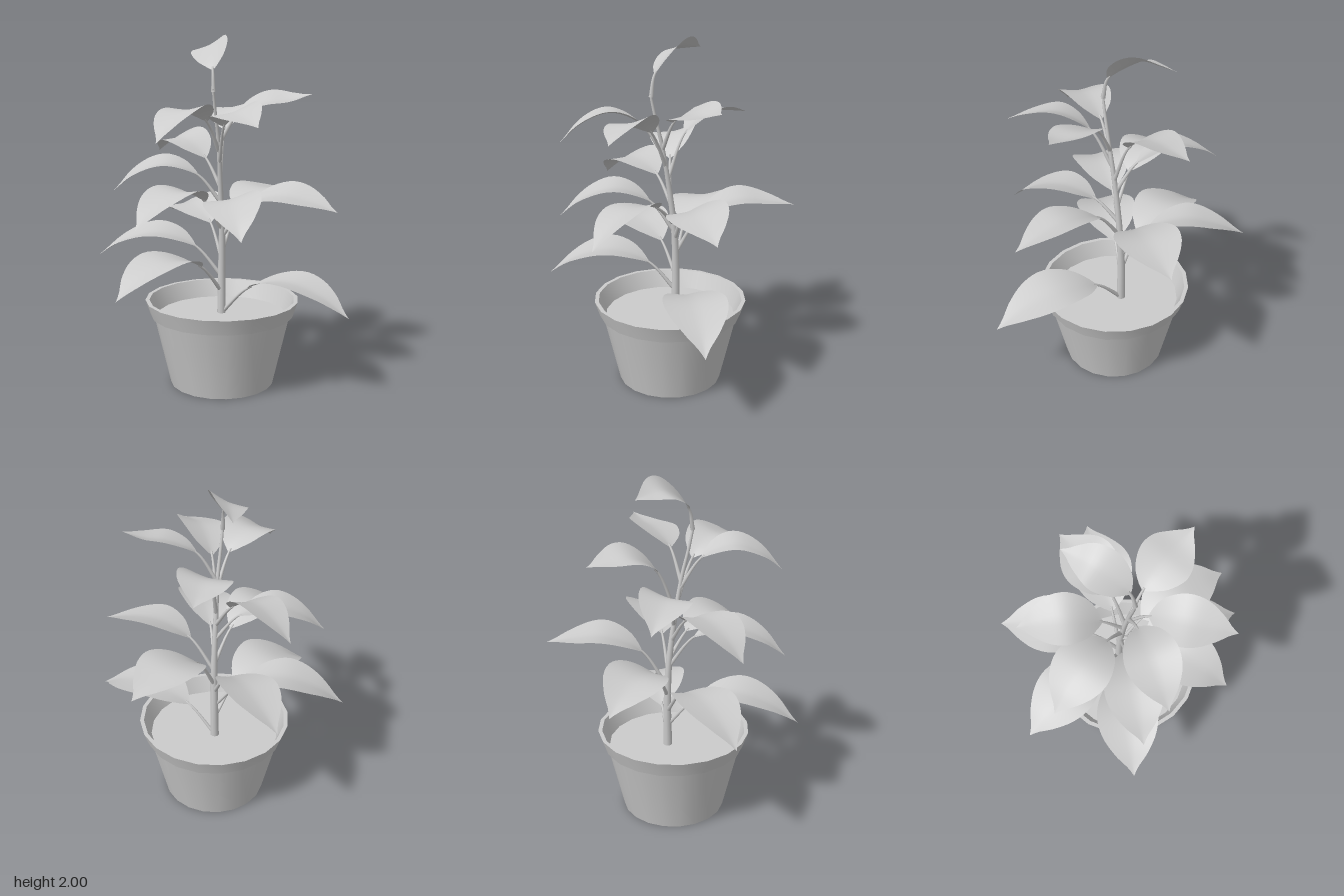
import * as THREE from 'three';
import { toCreasedNormals } from 'three/addons/utils/BufferGeometryUtils.js';

const V3 = (x, y, z) => new THREE.Vector3(x, y, z);
const grey = new THREE.MeshStandardMaterial({ color: 0xcccccc });
const thin = new THREE.MeshStandardMaterial({ color: 0xcccccc, side: THREE.DoubleSide });

function addMesh(parent, name, geometry, material = grey) {
  const mesh = new THREE.Mesh(geometry, material);
  mesh.name = name;
  parent.add(mesh);
  return mesh;
}

// Tube whose radius runs from r0 to r1 along the curve
function taperedTube(curve, r0, r1, steps, sides) {
  const geo = new THREE.TubeGeometry(curve, steps, 1, sides);
  const p = geo.attributes.position;
  for (let i = 0; i <= steps; i++) {
    const c = curve.getPointAt(i / steps);
    const r = THREE.MathUtils.lerp(r0, r1, i / steps);
    for (let j = 0; j <= sides; j++) {
      const k = i * (sides + 1) + j;
      const v = V3().fromBufferAttribute(p, k).sub(c).multiplyScalar(r).add(c);
      p.setXYZ(k, v.x, v.y, v.z);
    }
  }
  return geo;
}

const stemCurve = new THREE.CatmullRomCurve3([
  V3(0.04, 0.39, -0.045), V3(0.042, 0.65, -0.045), V3(0.035, 0.9, -0.035),
  V3(0.005, 1.18, -0.015), V3(-0.03, 1.42, 0.01), V3(-0.065, 1.58, 0.025), V3(-0.09, 1.71, 0.035),
]);

// Point on the stem at a given height
function stemAt(y) {
  let lo = 0, hi = 1;
  for (let i = 0; i < 24; i++) {
    const mid = (lo + hi) / 2;
    if (stemCurve.getPoint(mid).y < y) lo = mid; else hi = mid;
  }
  return stemCurve.getPoint(lo);
}

// Half width of the blade from base to tip, as a share of the widest point
const outline = new THREE.SplineCurve([
  [0, 0.04], [0.07, 0.33], [0.2, 0.73], [0.41, 1], [0.6, 0.9], [0.78, 0.54], [0.91, 0.18], [1, 0],
].map(([u, w]) => new THREE.Vector2(u, w)));
const outlinePoints = outline.getPoints(120);
function widthAt(u) {
  const i = Math.max(1, outlinePoints.findIndex((p) => p.x >= u - 1e-6));
  const a = outlinePoints[i - 1], b = outlinePoints[i];
  return Math.max(0, THREE.MathUtils.mapLinear(u, a.x, b.x, a.y, b.y));
}

// Blade: a grid swept along the midrib, gently folded along its middle
function bladeGeometry(midrib, side, width, roll) {
  const rows = 20, cols = 10, pos = [], index = [];
  for (let i = 0; i <= rows; i++) {
    const u = i / rows;
    const c = midrib.getPointAt(u);
    const t = midrib.getTangentAt(u);
    const s = side.clone().applyAxisAngle(t, roll);
    const n = t.clone().cross(s).normalize();
    const w = widthAt(u) * width / 2;
    for (let j = 0; j <= cols; j++) {
      const k = (j / cols) * 2 - 1;
      const lift = 0.14 * w * Math.pow(Math.abs(k), 1.4);
      const v = c.clone().addScaledVector(s, k * w).addScaledVector(n, lift);
      pos.push(v.x, v.y, v.z);
      if (i < rows && j < cols) {
        const a = i * (cols + 1) + j, b = a + cols + 1;
        index.push(a, b, a + 1, b, b + 1, a + 1);
      }
    }
  }
  const geo = new THREE.BufferGeometry();
  geo.setAttribute('position', new THREE.Float32BufferAttribute(pos, 3));
  geo.setIndex(index);
  geo.computeVertexNormals();
  return geo;
}

// Leaf: stalk rising from the stem, then a blade arching over to its tip.
// roll tilts the blade about its midrib, sway bows the midrib sideways
function makeLeaf({ from, peak, tip, width, roll = 0, sway = 0, base = [0.22, 0.72] }) {
  const leaf = new THREE.Group();
  leaf.name = 'leaf';
  const a = stemAt(from), b = V3(...tip);
  const dir = V3(b.x - a.x, 0, b.z - a.z).normalize();
  const side = V3(0, 1, 0).cross(dir);
  const at = (f, y) => V3(THREE.MathUtils.lerp(a.x, b.x, f), y, THREE.MathUtils.lerp(a.z, b.z, f))
    .addScaledVector(side, sway * Math.sin(Math.PI * f));
  const spine = new THREE.CatmullRomCurve3([
    a, at(base[0], a.y + base[1] * (peak - a.y)), at(0.51, peak),
    at(0.78, peak - 0.33 * (peak - b.y)), b,
  ]);
  const section = (t0, t1) => new THREE.CatmullRomCurve3(
    Array.from({ length: 13 }, (_, i) => spine.getPoint(t0 + (t1 - t0) * i / 12)));
  addMesh(leaf, 'leafStalk', taperedTube(section(0, 0.27), 0.013, 0.006, 10, 6));
  addMesh(leaf, 'leafBlade', bladeGeometry(section(0.24, 1), side, width, roll), thin);
  return leaf;
}

// Leaves from the bottom up: height on the stem, top of the arch, tip
const leaves = [
  { from: 0.40, peak: 0.64, tip: [0.29, 0.49, 0.72], width: 0.35, sway: 0.02 },
  { from: 0.53, peak: 0.775, tip: [-0.71, 0.61, -0.03], width: 0.35 },
  { from: 0.62, peak: 0.87, tip: [-0.435, 0.72, -0.61], width: 0.34, roll: -0.08 },
  { from: 0.72, peak: 0.995, tip: [0.205, 0.90, -0.72], width: 0.33, roll: -0.2 },
  { from: 0.77, peak: 1.09, tip: [0.71, 1.05, -0.165], width: 0.35 },
  { from: 0.86, peak: 1.125, tip: [0.33, 1.05, 0.585], width: 0.33, roll: 0.2 },
  { from: 0.90, peak: 1.16, tip: [-0.62, 0.99, 0.03], width: 0.32 },
  { from: 0.95, peak: 1.13, tip: [-0.325, 0.97, 0.53], width: 0.31, roll: 0.2 },
  { from: 1.06, peak: 1.285, tip: [-0.435, 1.13, -0.435], width: 0.32, roll: -0.1 },
  { from: 1.15, peak: 1.415, tip: [0.01, 1.31, -0.595], width: 0.28, roll: -0.22, sway: 0.02, base: [0.21, 0.62] },
  { from: 1.22, peak: 1.58, tip: [0.415, 1.555, -0.315], width: 0.29, roll: -0.15 },
  { from: 1.30, peak: 1.60, tip: [-0.225, 1.54, 0.545], width: 0.27, roll: 0.27, sway: -0.03 },
  { from: 1.36, peak: 1.61, tip: [-0.57, 1.455, 0.155], width: 0.28, roll: 0.1 },
  { from: 1.40, peak: 1.64, tip: [0.325, 1.68, 0.38], width: 0.29, roll: 0.22 },
  { from: 1.69, peak: 1.94, tip: [0.15, 1.92, -0.305], width: 0.22, roll: -0.45, base: [0.08, 0.5] },
];

export function createModel() {
  const model = new THREE.Group();
  model.name = 'pottedPlant';

  // Tapered pot with an overhanging rim and a hollow top
  const pot = new THREE.Group();
  pot.name = 'pot';
  pot.position.set(0.013, 0, -0.01);
  model.add(pot);
  const profile = [
    [0, 0], [0.3, 0], [0.395, 0.41], [0.413, 0.41], [0.443, 0.5], [0.42, 0.5], [0.37, 0.38],
  ].map(([r, y]) => new THREE.Vector2(r, y));
  addMesh(pot, 'potBody', toCreasedNormals(new THREE.LatheGeometry(profile, 20), 0.5));

  // Soil
  const soil = addMesh(pot, 'soil', new THREE.CircleGeometry(0.385, 20));
  soil.rotation.x = -Math.PI / 2;
  soil.position.y = 0.4;

  // Plant
  const plant = new THREE.Group();
  plant.name = 'plant';
  model.add(plant);
  addMesh(plant, 'stem', taperedTube(stemCurve, 0.026, 0.007, 40, 10));
  for (const spec of leaves) plant.add(makeLeaf(spec));
  return model;
}
